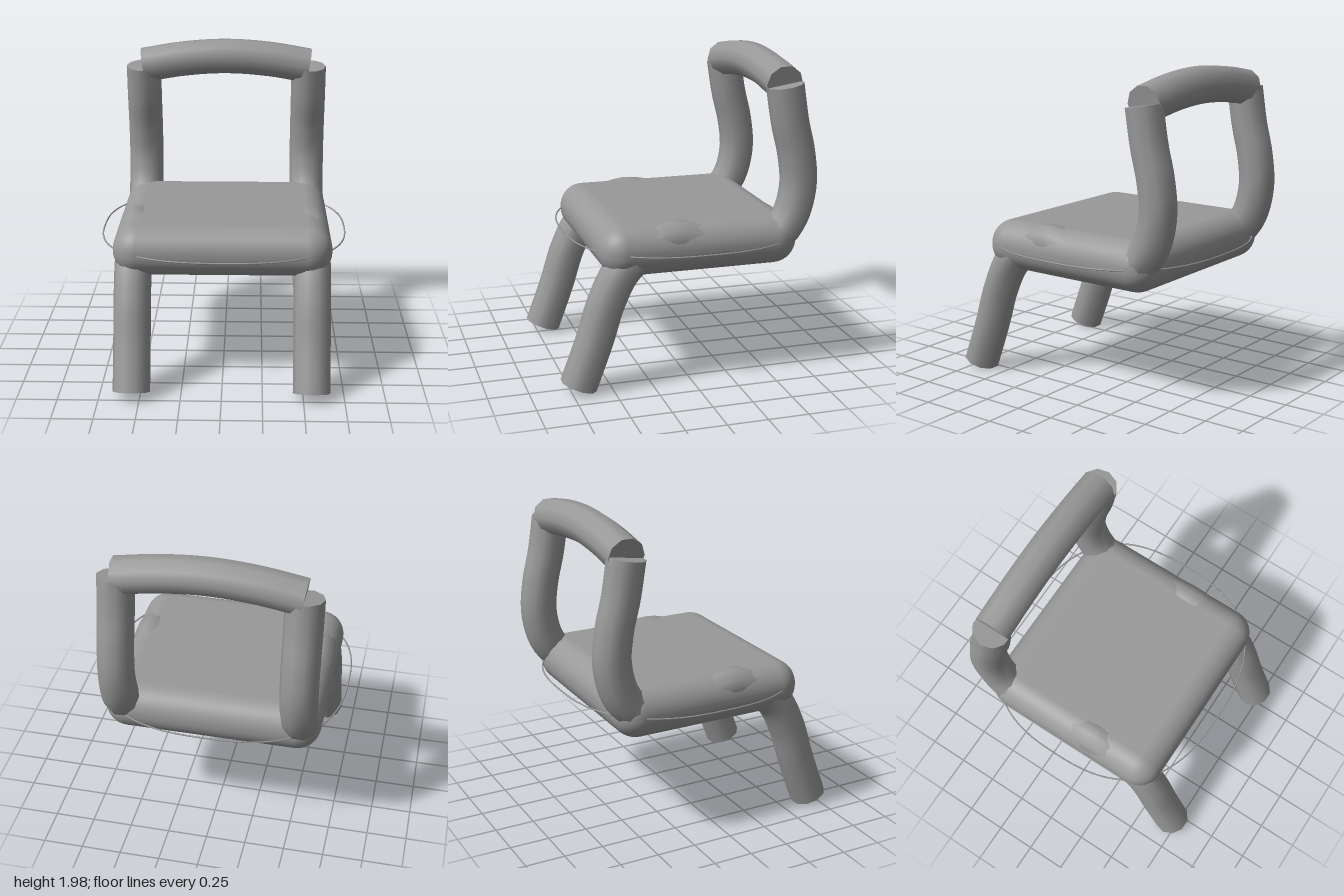
import * as THREE from 'three';
import { RoundedBoxGeometry } from 'three/addons/geometries/RoundedBoxGeometry.js';

const SIDES = 10;
const RADIUS = 0.115;

// Closed-ended pipe swept along a smooth curve
function pipe(name, points, steps, material) {
  const curve = new THREE.CatmullRomCurve3(points.map((p) => new THREE.Vector3(...p)));
  const tube = new THREE.TubeGeometry(curve, steps, RADIUS, SIDES, false);
  const group = new THREE.Group();
  group.name = name;
  const body = new THREE.Mesh(tube, material);
  body.name = name + 'Tube';
  group.add(body);

  // Flat caps made from the first and last rings
  for (const end of [0, 1]) {
    const ring = [];
    for (let i = 0; i < SIDES; i++) {
      const index = end * steps * (SIDES + 1) + i;
      ring.push(new THREE.Vector3().fromBufferAttribute(tube.attributes.position, index));
    }
    if (end) ring.reverse();
    const corners = [];
    for (let i = 1; i < SIDES - 1; i++) corners.push(ring[0], ring[i], ring[i + 1]);
    const geometry = new THREE.BufferGeometry().setFromPoints(corners);
    geometry.computeVertexNormals();
    const cap = new THREE.Mesh(geometry, material);
    cap.name = name + (end ? 'EndCap' : 'StartCap');
    group.add(cap);
  }
  return group;
}

export function createModel() {
  const model = new THREE.Group();
  model.name = 'chair';
  const grey = new THREE.MeshStandardMaterial({ color: 0x999999 });
  grey.name = 'grey';

  // Cushion seat with fully rounded edges
  const seat = new THREE.Mesh(new RoundedBoxGeometry(1.345, 0.31, 1.245, 6, 0.15), grey);
  seat.name = 'seat';
  seat.position.set(0, 0.875, -0.058);
  model.add(seat);

  // Side frames: front leg, hidden run through the seat, back post (y, z)
  const profile = [
    [0.055, 0.705], [0.34, 0.6], [0.58, 0.522], [0.77, 0.42], [0.885, 0.27],
    [0.928, 0.11], [0.895, -0.1], [0.855, -0.35], [0.885, -0.53],
    [1.0, -0.635], [1.2, -0.688], [1.4, -0.672], [1.6, -0.625], [1.825, -0.588],
  ];
  for (const side of [-1, 1]) {
    const points = profile.map(([y, z]) => [side * 0.55, y, z]);
    model.add(pipe(side > 0 ? 'leftFrame' : 'rightFrame', points, 64, grey));
  }

  // Arched top rail
  const rail = [[-0.55, 1.828], [-0.28, 1.872], [0, 1.89], [0.28, 1.872], [0.55, 1.828]];
  model.add(pipe('topRail', rail.map(([x, y]) => [x, y, -0.588]), 24, grey));

  // Thin wire hoop around the seat, a softened square oval
  const hoopPoints = [];
  const power = 2 / 2.6;
  for (let i = 0; i < 64; i++) {
    const a = (i / 64) * Math.PI * 2;
    const c = Math.cos(a), s = Math.sin(a);
    hoopPoints.push(new THREE.Vector3(
      0.774 * Math.sign(c) * Math.abs(c) ** power,
      0.877,
      -0.06 + 0.732 * Math.sign(s) * Math.abs(s) ** power,
    ));
  }
  const hoopCurve = new THREE.CatmullRomCurve3(hoopPoints, true);
  const hoop = new THREE.Mesh(new THREE.TubeGeometry(hoopCurve, 96, 0.005, 6, true), grey);
  hoop.name = 'seatHoop';
  model.add(hoop);

  return model;
}
